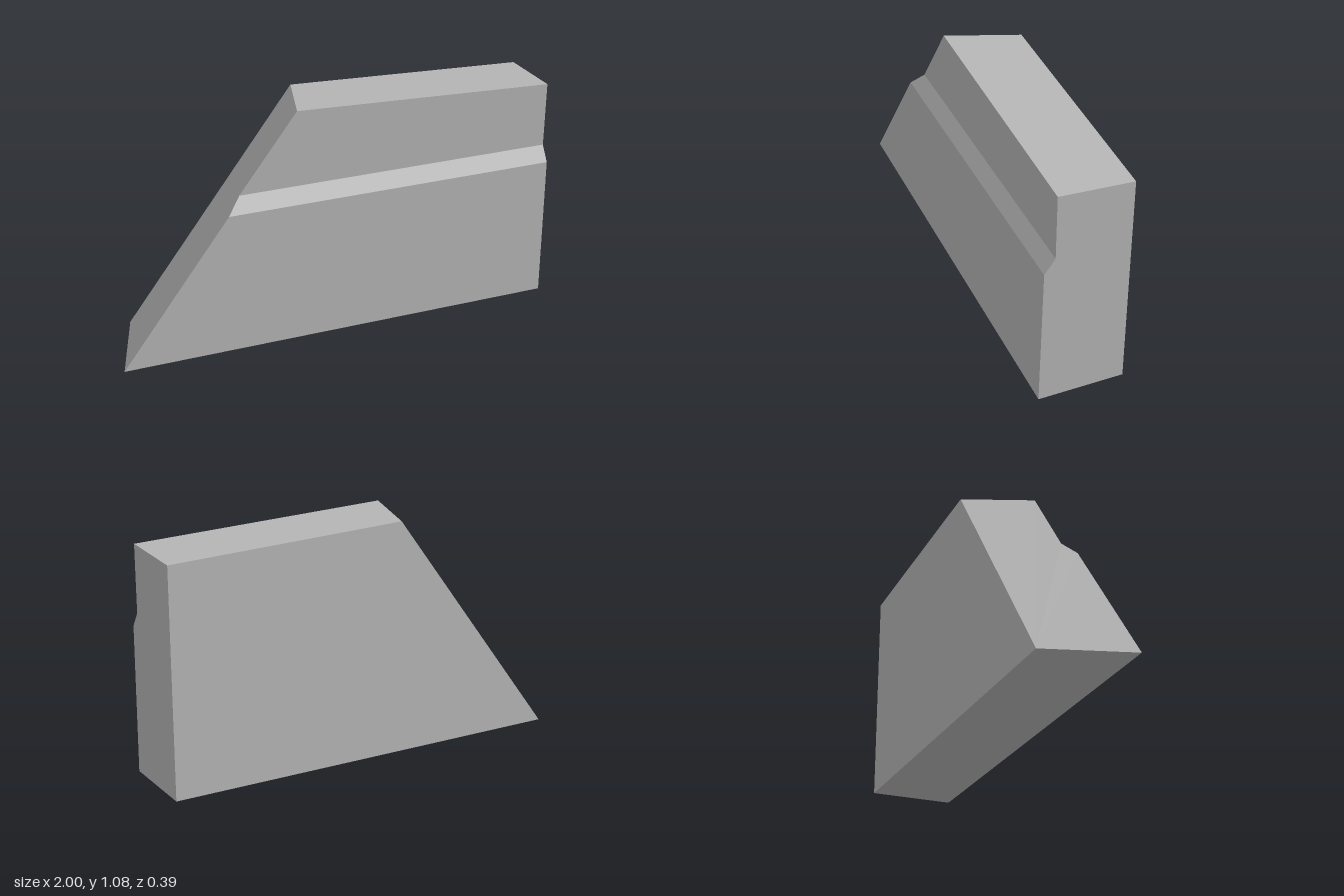
import * as THREE from 'three';

export function createModel() {
  const group = new THREE.Group();
  group.name = 'wallBlock';
  const grey = new THREE.MeshStandardMaterial({ color: 0xb4b4b4 });
  grey.name = 'plain grey';

  // Matching end sections, from the front foot over the ledge to the back foot
  const slopedEnd = [
    [-1, 0, 0.193], [-0.505, 0.66, 0.183], [-0.443, 0.727, 0.136],
    [-0.18, 1.077, 0.136], [-0.095, 1.054, -0.193], [-0.88, 0, -0.193],
  ];
  const rightHeights = [0, 0.66, 0.727, 1.024, 1.004, 0];
  const straightEnd = slopedEnd.map(([, , z], i) => [1, rightHeights[i], z]);

  const positions = [];
  const triangle = (a, b, c) => positions.push(...a, ...b, ...c);
  const count = slopedEnd.length;

  // Long faces between the two ends
  for (let i = 0; i < count; i++) {
    const j = (i + 1) % count;
    triangle(slopedEnd[i], straightEnd[i], straightEnd[j]);
    triangle(slopedEnd[i], straightEnd[j], slopedEnd[j]);
  }

  // End caps, fanned from the back foot
  const foot = count - 1;
  for (let i = 0; i < count - 2; i++) {
    triangle(slopedEnd[foot], slopedEnd[i], slopedEnd[i + 1]);
    triangle(straightEnd[foot], straightEnd[i + 1], straightEnd[i]);
  }

  const geometry = new THREE.BufferGeometry();
  geometry.setAttribute('position', new THREE.Float32BufferAttribute(positions, 3));
  geometry.computeVertexNormals();
  const block = new THREE.Mesh(geometry, grey);
  block.name = 'steppedBlock';
  group.add(block);
  return group;
}
